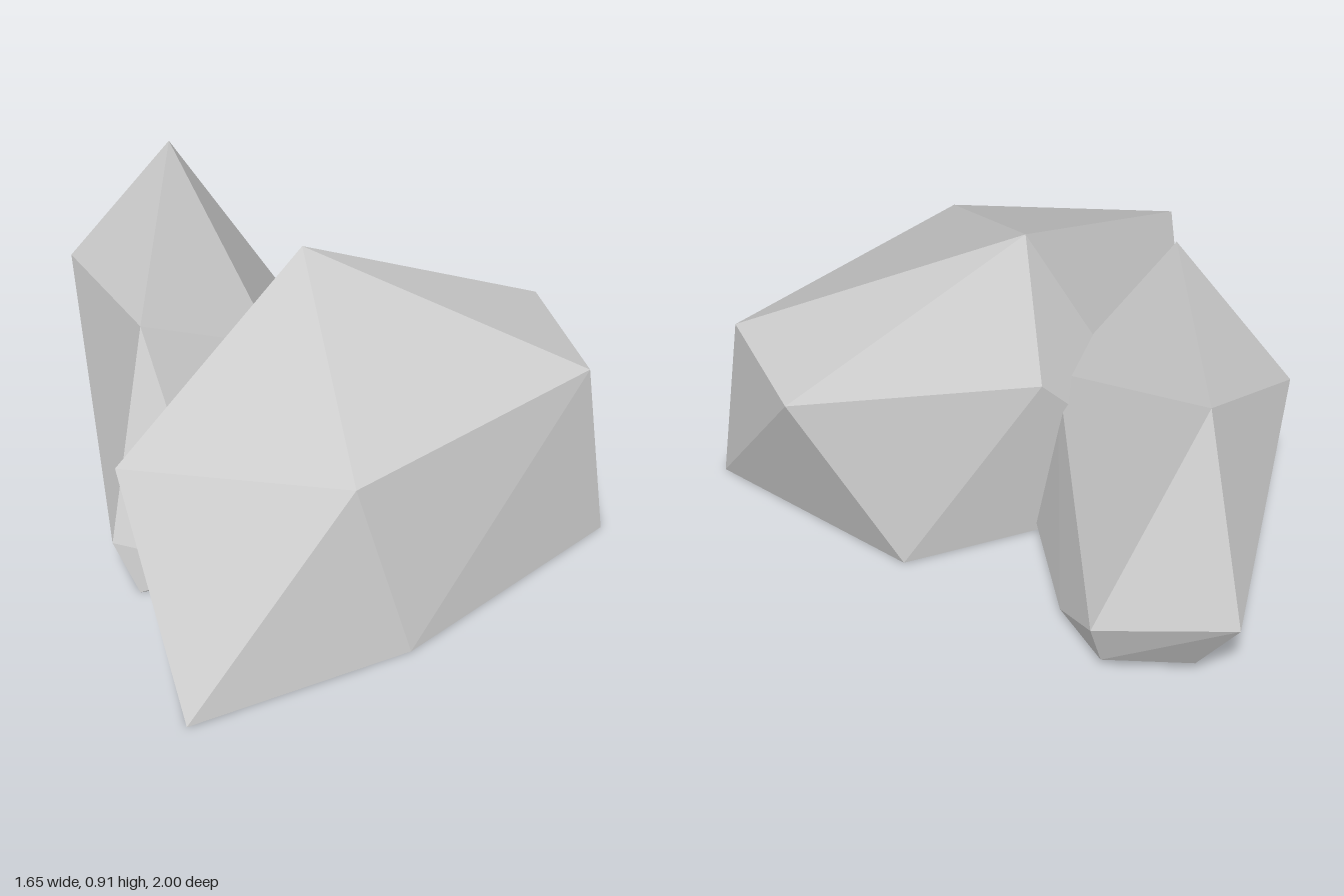
import * as THREE from 'three';
import { ConvexGeometry } from 'three/addons/geometries/ConvexGeometry.js';

const material = new THREE.MeshStandardMaterial({ color: 0xcccccc, flatShading: true });

// A faceted boulder is the convex hull of its corners.
function boulder(name, corners) {
  const points = corners.map((c) => new THREE.Vector3(...c));
  const mesh = new THREE.Mesh(new ConvexGeometry(points), material);
  mesh.name = name;
  return mesh;
}

// Places [x, z] corners on a plane whose height depends on z.
const ring = (corners, height) => corners.map(([x, z]) => [x, height(z), z]);

export function createModel() {
  const group = new THREE.Group();
  group.name = 'rocks';

  // Large rock: peak, level shoulder and flat base
  group.add(boulder('largeRock', [
    [-0.08, 0.905, -0.06],
    ...ring([[-0.5, 0.6], [0.17, 0.6], [0.76, -0.06], [0.57, -0.44], [-0.14, -0.31]], () => 0.56),
    ...ring([[-0.24, 1], [0.33, 0.6], [0.825, -0.04], [0.25, -0.44], [-0.6, -0.06]], () => 0),
  ]));

  // Small rock: leaning crown over a slightly tilted base, running into the large rock
  group.add(boulder('smallRock', [
    [-0.6, 0.82, -0.72],
    [-0.51, 0.74, 0.17],
    [-0.83, 0.63, -0.33],
    [-0.18, 0.49, -0.15],
    [-0.7, 0.29, -1],
    [-0.3, 0.2, -0.92],
    [-0.56, 0.16, 0.44],
    [-0.25, 0.1, 0.43],
    ...ring([
      [-0.33, -0.87], [-0.59, -0.87], [-0.71, -0.6], [-0.72, -0.3], [-0.63, 0.05],
      [-0.48, 0.46], [-0.25, 0.35], [-0.09, -0.1], [-0.21, -0.66],
    ], (z) => 0.017 - 0.037 * z),
  ]));

  return group;
}
